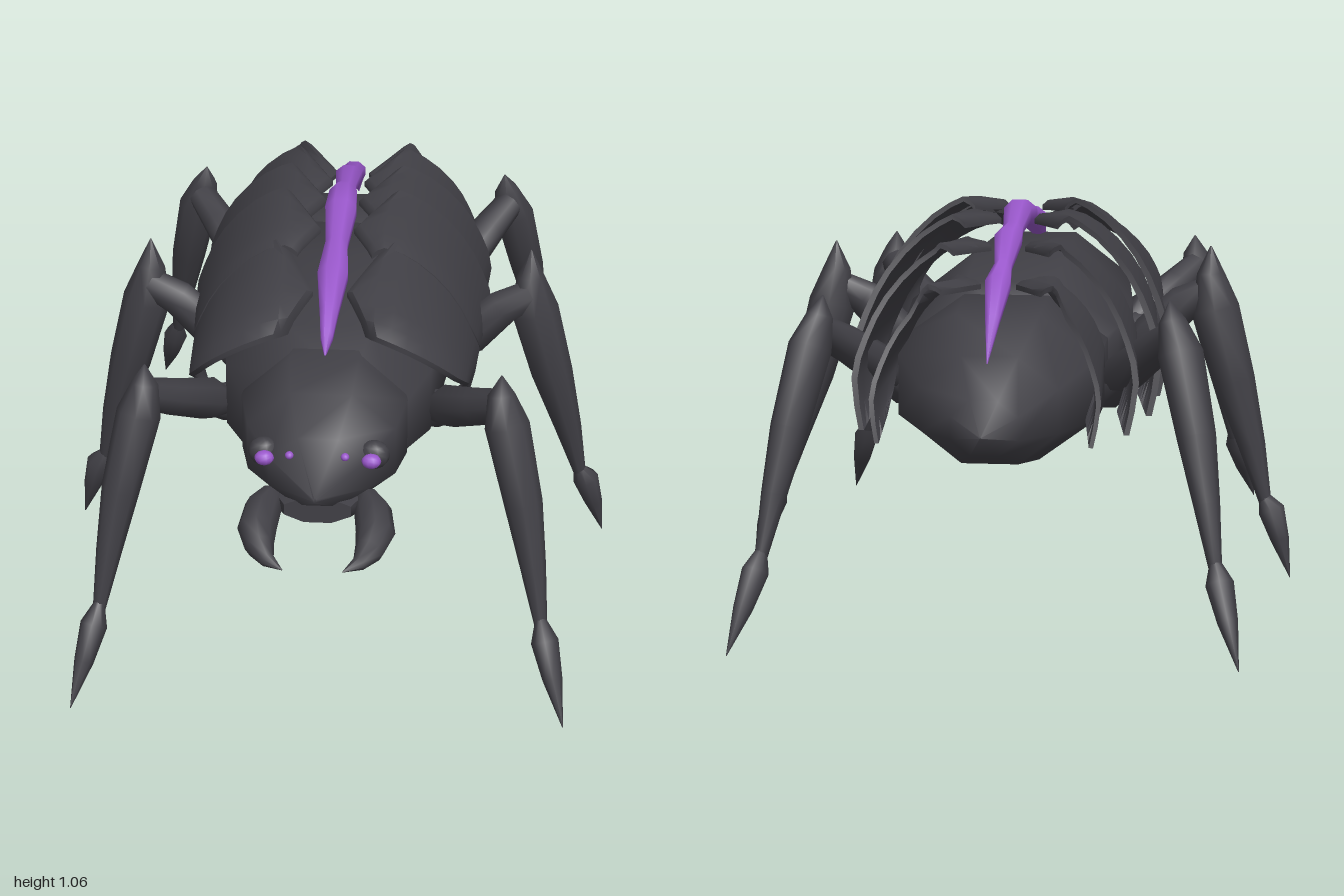
import * as THREE from 'three';
import { toCreasedNormals } from 'three/addons/utils/BufferGeometryUtils.js';

const shellDark = new THREE.MeshStandardMaterial({ color: 0x403f45 });
shellDark.name = 'charcoal shell';
const glowPurple = new THREE.MeshStandardMaterial({ color: 0x9a58cc });
glowPurple.name = 'purple';

const lerp = THREE.MathUtils.lerp;

// Skin a list of closed rings (equal point counts) into a capped solid
function loft(rings, crease = 1.1) {
  const n = rings[0].length, pos = [], idx = [];
  rings.forEach((r) => r.forEach((p) => pos.push(p.x, p.y, p.z)));
  for (let i = 0; i < rings.length - 1; i++) {
    for (let j = 0; j < n; j++) {
      const a = i * n + j, b = i * n + (j + 1) % n;
      idx.push(a, b, b + n, a, b + n, a + n);
    }
  }
  // End caps are strips across the ring, so they also suit curved shells
  const last = (rings.length - 1) * n;
  for (let j = 0; j < n / 2 - 1; j++) {
    const k = n - 1 - j;
    idx.push(j, k, j + 1, j + 1, k, k - 1);
    idx.push(last + j, last + j + 1, last + k, last + j + 1, last + k - 1, last + k);
  }
  // Turn the faces outward if the enclosed volume is negative
  const v = (i) => new THREE.Vector3().fromArray(pos, i * 3);
  let volume = 0;
  for (let i = 0; i < idx.length; i += 3) {
    volume += v(idx[i]).dot(v(idx[i + 1]).cross(v(idx[i + 2])));
  }
  if (volume < 0) idx.reverse();
  const g = new THREE.BufferGeometry();
  g.setAttribute('position', new THREE.Float32BufferAttribute(pos, 3));
  g.setIndex(idx);
  return toCreasedNormals(g, crease);
}

// Octagonal hull along z from [z, halfWidth, bottom, top]
function hull(sections) {
  const k = 1 / Math.cos(Math.PI / 8);
  return loft(sections.map(([z, w, lo, hi]) => Array.from({ length: 8 }, (_, i) => {
    const a = (i + 0.5) * Math.PI / 4;
    return new THREE.Vector3(Math.cos(a) * w * k, (lo + hi) / 2 + Math.sin(a) * (hi - lo) / 2 * k, z);
  })));
}

// Round tapering limb through [x, y, z, radius]
function limb(path, sides = 8) {
  const pts = path.map((p) => new THREE.Vector3(p[0], p[1], p[2]));
  const d = pts[pts.length - 1].clone().sub(pts[0]);
  const size = [Math.abs(d.x), Math.abs(d.y), Math.abs(d.z)];
  const ref = new THREE.Vector3().setComponent(size.indexOf(Math.min(...size)), 1);
  return loft(pts.map((p, i) => {
    const t = pts[Math.min(i + 1, pts.length - 1)].clone().sub(pts[Math.max(i - 1, 0)]).normalize();
    const u = ref.clone().cross(t).normalize(), w = t.clone().cross(u);
    return Array.from({ length: sides }, (_, j) => {
      const a = j / sides * Math.PI * 2, r = path[i][3];
      return p.clone().addScaledVector(u, Math.cos(a) * r).addScaledVector(w, Math.sin(a) * r);
    });
  }));
}

// Curved back plate: normalized arc from the spine (first) to the hem (last)
const ARC = new THREE.SplineCurve([[0, 0.95], [0.33, 1], [0.57, 0.91], [0.79, 0.72], [0.93, 0.5], [1, 0.28], [0.94, 0]]
  .map(([x, y]) => new THREE.Vector2(x, y))).getPoints(12);
function backPlate({ z, rearIn, rearOut, w, top, low, round, point }) {
  return loft([0, 0.1, 0.25, 0.4, 0.6, 0.8, 1].map((v) => {
    const width = lerp(w[0], w[1], v), lo = lerp(low[0], low[1], v);
    const hi = lerp(top[0], top[1], v ** 0.6);
    // The edge beside the spine comes to a blunt point
    const inner = v < 0.4 ? lerp(0.1, 0.045, v / 0.4) : lerp(0.045, 0.125, (v - 0.4) / 0.6);
    const at = (p, i, inset) => {
      const u = i / (ARC.length - 1);
      const rear = lerp(rearIn, rearOut, 0.4 * p.x + 0.6 * (1 - p.y));
      // The hem narrows toward a rear spike
      const front = lerp(z - round * (u - 0.35) ** 2, rear, point * Math.max(0, (u - 0.68) / 0.32) ** 2);
      const x = Math.max(p.x * width, inner + 0.1 * p.x);
      return new THREE.Vector3(x * (1 - inset * 3 * p.x), lerp(lo, hi, p.y) - inset * p.y, lerp(front, rear, v));
    };
    return [...ARC.map((p, i) => at(p, i, 0)), ...ARC.map((p, i) => at(p, i, 0.014)).reverse()];
  }), 0.8);
}

const PLATES = [
  { z: 0.58, rearIn: 0.2, rearOut: 0.15, w: [0.37, 0.392], top: [0.925, 1.025], low: [0.66, 0.57], round: 0.6, point: 0.1 },
  { z: 0.22, rearIn: -0.06, rearOut: -0.17, w: [0.392, 0.422], top: [1.02, 1.062], low: [0.58, 0.53], round: 0.05, point: 0.7 },
  { z: 0.02, rearIn: -0.28, rearOut: -0.45, w: [0.385, 0.415], top: [1.02, 1.04], low: [0.58, 0.53], round: 0.2, point: 0.85 },
  { z: -0.22, rearIn: -0.52, rearOut: -0.71, w: [0.345, 0.37], top: [0.97, 0.995], low: [0.58, 0.53], round: 0.2, point: 0.85 },
  { z: -0.45, rearIn: -0.74, rearOut: -0.92, w: [0.275, 0.29], top: [0.9, 0.92], low: [0.6, 0.54], round: 0.2, point: 0.85 },
];

// Each leg part as a path of [x, y, z, radius]
const LEGS = {
  front: {
    Hip: [[0.18, 0.6, 0.28, 0.04], [0.28, 0.62, 0.36, 0.055], [0.33, 0.65, 0.43, 0.03]],
    Thigh: [[0.27, 0.63, 0.38, 0.03], [0.32, 0.67, 0.44, 0.058], [0.4, 0.73, 0.55, 0.05], [0.46, 0.78, 0.63, 0.042]],
    Shin: [[0.455, 0.87, 0.645, 0.002], [0.455, 0.82, 0.65, 0.035], [0.472, 0.74, 0.665, 0.058],
      [0.52, 0.54, 0.71, 0.05], [0.55, 0.38, 0.755, 0.034], [0.577, 0.22, 0.8, 0.016]],
    Foot: [[0.573, 0.25, 0.795, 0.012], [0.587, 0.195, 0.825, 0.036], [0.61, 0.11, 0.87, 0.026], [0.64, 0.005, 0.935, 0.001]],
  },
  middle: {
    Hip: [[0.2, 0.58, 0.02, 0.04], [0.3, 0.61, 0.02, 0.055], [0.37, 0.66, 0.02, 0.03]],
    Thigh: [[0.3, 0.62, 0.02, 0.03], [0.36, 0.67, 0.02, 0.058], [0.45, 0.76, 0.02, 0.052], [0.53, 0.8, 0.01, 0.042]],
    Shin: [[0.525, 0.925, -0.005, 0.002], [0.525, 0.85, 0, 0.038], [0.54, 0.75, 0, 0.066],
      [0.595, 0.55, -0.01, 0.058], [0.647, 0.37, -0.025, 0.038], [0.69, 0.2, -0.045, 0.016]],
    Foot: [[0.682, 0.23, -0.04, 0.014], [0.705, 0.19, -0.048, 0.037], [0.73, 0.11, -0.062, 0.026], [0.76, 0.005, -0.08, 0.001]],
  },
  rear: {
    Hip: [[0.18, 0.57, -0.34, 0.04], [0.28, 0.6, -0.42, 0.055], [0.33, 0.64, -0.48, 0.03]],
    Thigh: [[0.27, 0.61, -0.42, 0.03], [0.32, 0.65, -0.47, 0.058], [0.4, 0.73, -0.57, 0.05], [0.46, 0.78, -0.65, 0.042]],
    Shin: [[0.445, 0.87, -0.655, 0.002], [0.452, 0.82, -0.665, 0.035], [0.475, 0.74, -0.685, 0.058],
      [0.52, 0.54, -0.75, 0.05], [0.55, 0.38, -0.81, 0.034], [0.577, 0.22, -0.865, 0.016]],
    Foot: [[0.573, 0.25, -0.855, 0.012], [0.587, 0.195, -0.88, 0.036], [0.61, 0.11, -0.93, 0.026], [0.64, 0.005, -1, 0.001]],
  },
};

export function createModel() {
  const model = new THREE.Group();
  model.name = 'beetle';
  const add = (name, geometry, material = shellDark) => {
    const mesh = new THREE.Mesh(geometry, material);
    mesh.name = name;
    model.add(mesh);
  };
  // Add a left part and its mirror image with the winding restored
  const addPair = (name, geometry, material) => {
    add(name + 'Left', geometry, material);
    const g = geometry.index ? geometry.toNonIndexed() : geometry.clone();
    g.scale(-1, 1, 1);
    for (const key of ['position', 'normal']) {
      const a = g.attributes[key];
      for (let i = 0; i < a.count; i += 3) {
        const b = [a.getX(i), a.getY(i), a.getZ(i)];
        a.setXYZ(i, a.getX(i + 1), a.getY(i + 1), a.getZ(i + 1));
        a.setXYZ(i + 1, ...b);
      }
    }
    add(name + 'Right', g, material);
  };
  const ball = (x, y, z, rx, ry, rz) => new THREE.SphereGeometry(1, 10, 8).scale(rx, ry, rz).translate(x, y, z);

  // Body, tail and head
  add('thorax', hull([[0.62, 0.19, 0.52, 0.83], [0.45, 0.27, 0.48, 0.9], [0, 0.31, 0.435, 0.9],
    [-0.3, 0.29, 0.457, 0.86], [-0.5, 0.18, 0.5, 0.75]]));
  add('abdomen', hull([[-0.3, 0.2, 0.5, 0.8], [-0.4, 0.27, 0.46, 0.84], [-0.6, 0.26, 0.44, 0.82],
    [-0.78, 0.175, 0.465, 0.74], [-0.9, 0.085, 0.51, 0.65], [-0.98, 0.002, 0.57, 0.574]]));
  add('head', hull([[0.45, 0.19, 0.53, 0.87], [0.58, 0.215, 0.495, 0.868], [0.69, 0.19, 0.51, 0.825],
    [0.8, 0.125, 0.56, 0.755], [0.915, 0.004, 0.635, 0.65]]));
  add('chin', hull([[0.6, 0.13, 0.495, 0.62], [0.74, 0.125, 0.505, 0.61], [0.83, 0.085, 0.53, 0.6]]));

  // Lumpy ridge along the back
  add('spineRidge', hull([[0.56, 0.002, 0.865, 0.87], [0.5, 0.016, 0.87, 0.91], [0.42, 0.024, 0.895, 0.945],
    [0.28, 0.04, 0.93, 0.995], [0.14, 0.03, 0.96, 1.015], [-0.03, 0.043, 0.98, 1.05], [-0.12, 0.038, 0.985, 1.06],
    [-0.24, 0.027, 0.97, 1.015], [-0.36, 0.037, 0.95, 1.012], [-0.48, 0.023, 0.905, 0.945], [-0.6, 0.033, 0.865, 0.924],
    [-0.72, 0.018, 0.8, 0.84], [-0.83, 0.002, 0.73, 0.74]]), glowPurple);

  // Overlapping plates on both sides
  PLATES.forEach((p, i) => addPair('backPlate' + (i + 1), backPlate(p)));

  // Jaws and eyes
  addPair('mandible', limb([[0.12, 0.57, 0.76, 0.03], [0.14, 0.555, 0.81, 0.048], [0.15, 0.53, 0.87, 0.05],
    [0.138, 0.515, 0.93, 0.038], [0.115, 0.5, 0.97, 0.02], [0.075, 0.49, 1, 0.001]]));
  addPair('eyeSocket', ball(0.14, 0.7, 0.77, 0.04, 0.038, 0.032));
  addPair('largeEye', ball(0.135, 0.703, 0.812, 0.025, 0.019, 0.021), glowPurple);
  addPair('smallEye', ball(0.07, 0.722, 0.829, 0.011, 0.01, 0.012), glowPurple);

  // Three pairs of legs
  for (const [place, parts] of Object.entries(LEGS)) {
    for (const [part, path] of Object.entries(parts)) addPair(place + part, limb(path));
  }
  return model;
}
